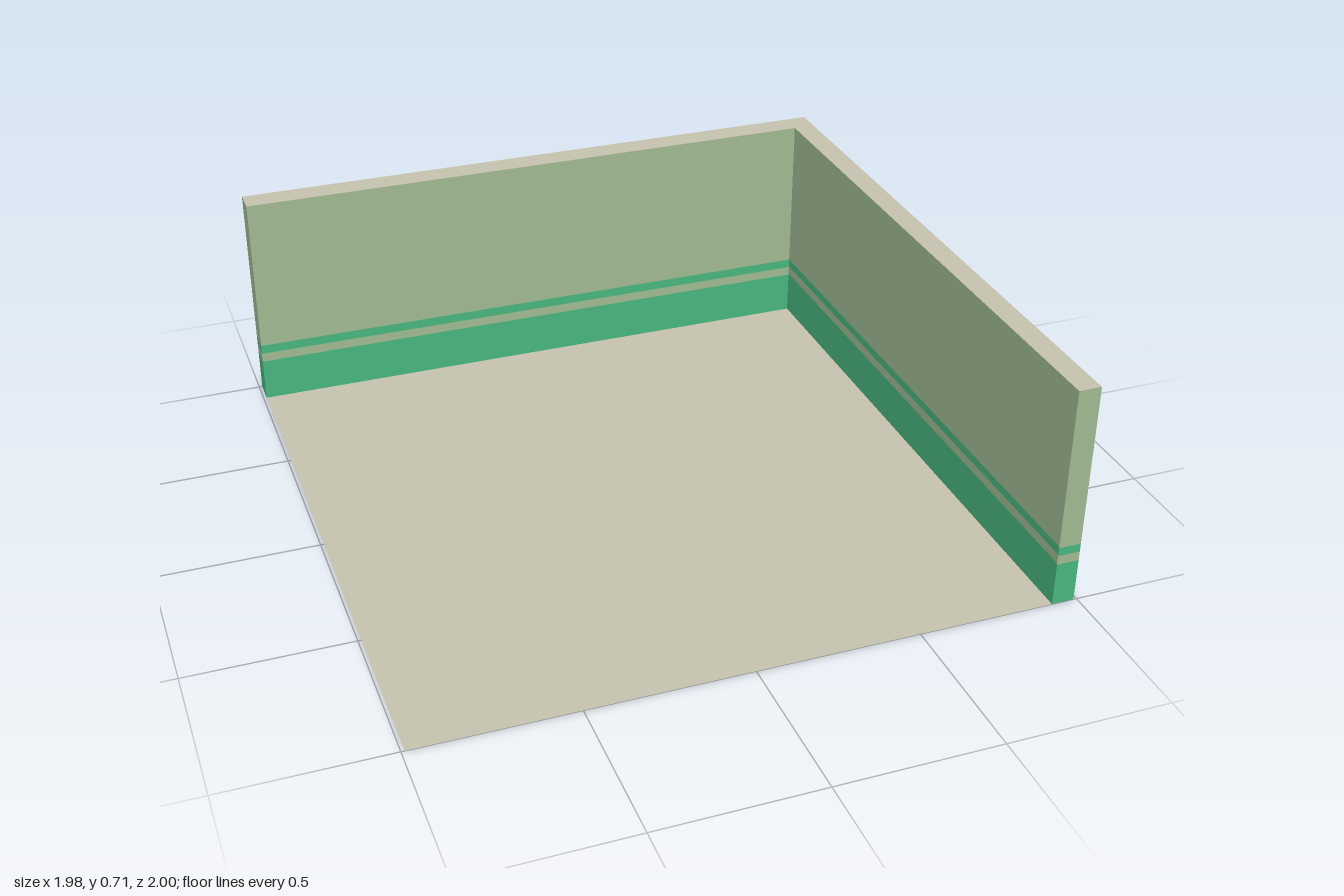
import * as THREE from 'three';

const flat = (name, color) => {
  const m = new THREE.MeshStandardMaterial({ color, side: THREE.DoubleSide });
  m.name = name;
  return m;
};

export function createModel() {
  const stone = flat('stone', 0xc9c5b1);
  const sage = flat('sage paint', 0xa3be96);
  const green = flat('green paint', 0x4aba80);
  const X = 0.99, Z = 1, H = 0.71; // outer half sizes and wall height
  const inX = 0.92, inZ = -0.92; // planes of the two walls

  const model = new THREE.Group();
  model.name = 'roomCorner';

  // Upright sheet from (x0, z0) to (x1, z1), painted in horizontal bands
  function paintedSheet(name, x0, z0, x1, z1, levels) {
    const group = new THREE.Group();
    group.name = name;
    const length = Math.hypot(x1 - x0, z1 - z0);
    const names = ['Dado', 'LowerStripe', 'UpperStripe', 'Field'];
    const paints = [green, sage, green, sage];
    for (let i = 0; i < 4; i++) {
      const h = levels[i + 1] - levels[i];
      const band = new THREE.Mesh(new THREE.PlaneGeometry(length, h), paints[i]);
      band.name = name + names[i];
      band.position.y = levels[i] + h / 2;
      group.add(band);
    }
    group.position.set((x0 + x1) / 2, 0, (z0 + z1) / 2);
    group.rotation.y = -Math.atan2(z1 - z0, x1 - x0);
    model.add(group);
  }

  // Horizontal sheet from an outline of [x, z] corners
  function levelSheet(name, y, outline) {
    const shape = new THREE.Shape(outline.map(([x, z]) => new THREE.Vector2(x, -z)));
    const mesh = new THREE.Mesh(new THREE.ShapeGeometry(shape).rotateX(-Math.PI / 2), stone);
    mesh.name = name;
    mesh.position.y = y;
    model.add(mesh);
  }

  // Floor runs slightly past the foot of both walls
  levelSheet('floor', 0, [[-X, Z], [0.95, Z], [0.95, -0.94], [-X, -0.94]]);

  // L-shaped top edge of the walls
  levelSheet('wallTop', H, [[-X, inZ], [inX, inZ], [inX, Z], [X, Z], [X, -Z], [-X, -Z]]);

  // Two walls and their narrow end faces
  paintedSheet('backWall', -X, inZ, inX, inZ, [0, 0.14, 0.17, 0.2, H]);
  paintedSheet('sideWall', inX, Z, inX, inZ, [0, 0.143, 0.173, 0.2, H]);
  paintedSheet('backWallEnd', -X, -Z, -X, inZ, [0, 0.138, 0.173, 0.197, H]);
  paintedSheet('sideWallEnd', inX, Z, X, Z, [0, 0.138, 0.168, 0.195, H]);

  return model;
}
